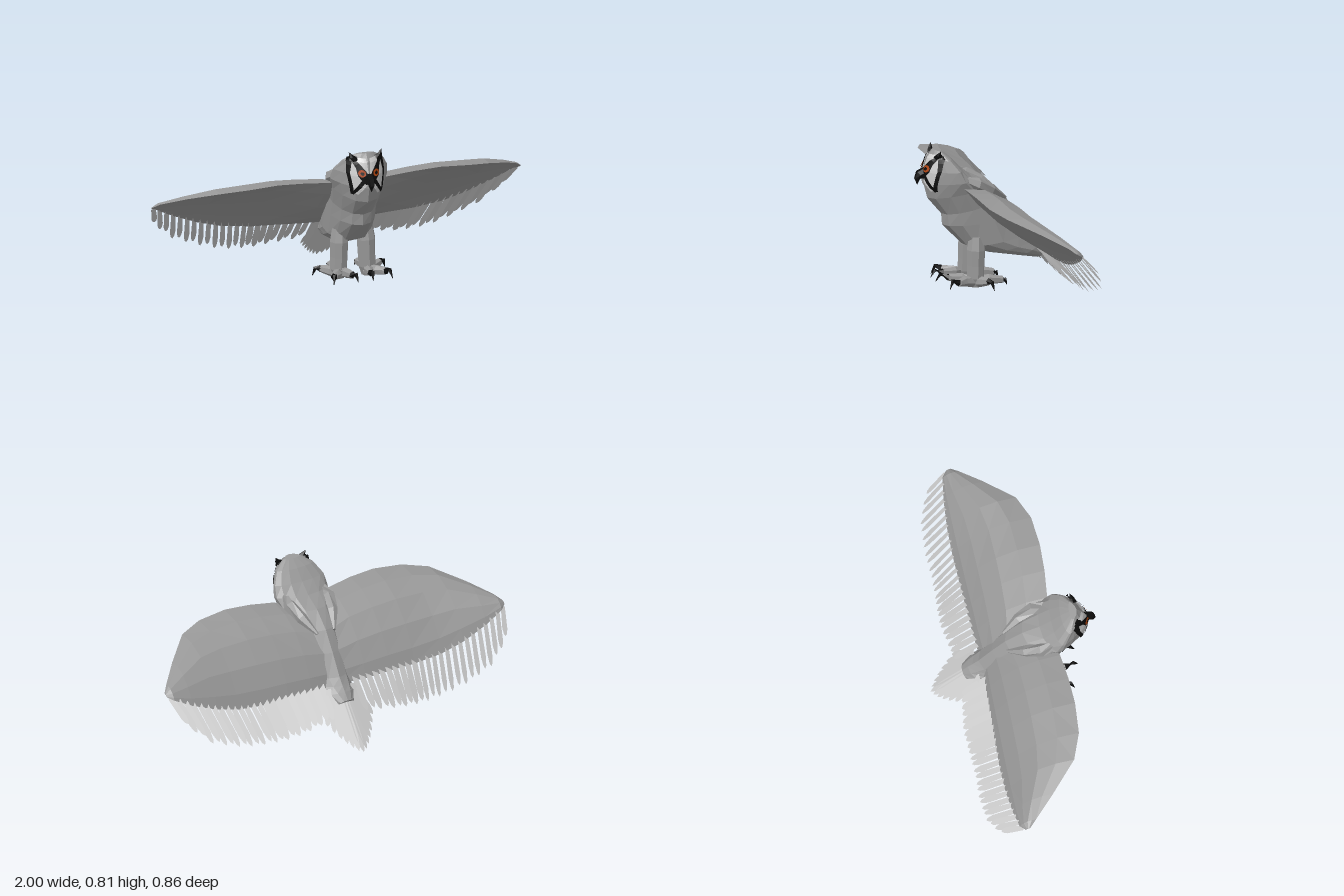
import * as THREE from 'three';

const V = (x, y, z) => new THREE.Vector3(x, y, z);
const paint = (color) => new THREE.MeshStandardMaterial({ color, flatShading: true, side: THREE.DoubleSide });
const plumage = paint(0x989898), pale = paint(0xc4c4c4), black = paint(0x0c0c0c), orange = paint(0xb04510);

function mesh(name, geometry, material, parent) {
  const m = new THREE.Mesh(geometry, material);
  m.name = name;
  parent.add(m);
}

function fromTriangles(points) {
  const g = new THREE.BufferGeometry().setFromPoints(points);
  g.computeVertexNormals();
  return g;
}

// Skin over closed rings, with both ends capped
function loft(rings) {
  const tri = [], n = rings[0].length;
  const centre = (r) => r.reduce((s, p) => s.add(p), V(0, 0, 0)).divideScalar(n);
  const first = rings[0], last = rings[rings.length - 1], c0 = centre(first), c1 = centre(last);
  for (let j = 0; j < n; j++) {
    const k = (j + 1) % n;
    for (let i = 0; i < rings.length - 1; i++) {
      const a = rings[i][j], b = rings[i][k], c = rings[i + 1][k], d = rings[i + 1][j];
      tri.push(a, b, c, a, c, d);
    }
    tri.push(c0, first[k], first[j], c1, last[j], last[k]);
  }
  return fromTriangles(tri);
}

// Round limb through points [x, y, z, radius]
function limb(points, sides = 6) {
  const p = points.map((q) => V(q[0], q[1], q[2]));
  return loft(p.map((c, i) => {
    const t = p[Math.min(i + 1, p.length - 1)].clone().sub(p[Math.max(i - 1, 0)]).normalize();
    const u = V(0, 0, 1).cross(t);
    if (u.length() < 0.3) u.copy(V(1, 0, 0)).cross(t);
    u.normalize();
    const v = t.clone().cross(u);
    return Array.from({ length: sides }, (_, j) => {
      const a = (j / sides) * Math.PI * 2, r = points[i][3];
      return c.clone().addScaledVector(u, r * Math.cos(a)).addScaledVector(v, r * Math.sin(a));
    });
  }));
}

// Body stations: front z, y / back z, y / widest z, half width, front sharpness
const BODY = [
  [0.335, 0.797, 0.295, 0.79, 0.31, 0.05, 2],
  [0.365, 0.755, 0.25, 0.755, 0.28, 0.11, 2],
  [0.382, 0.69, 0.2, 0.7, 0.24, 0.147, 2],
  [0.385, 0.62, 0.14, 0.65, 0.22, 0.155, 2],
  [0.365, 0.54, 0.05, 0.608, 0.18, 0.135, 1.5],
  [0.29, 0.45, -0.04, 0.53, 0.12, 0.12, 1.1],
  [0.285, 0.39, -0.11, 0.43, 0.08, 0.12, 1.1],
  [0.18, 0.28, -0.18, 0.32, 0.04, 0.12, 1],
  [0.06, 0.232, -0.21, 0.285, -0.06, 0.105, 1],
  [-0.1, 0.2, -0.235, 0.26, -0.16, 0.085, 1],
  [-0.22, 0.175, -0.265, 0.225, -0.24, 0.05, 1],
];

function bodyGeometry() {
  const sides = 14;
  return loft(BODY.map(([fz, fy, bz, by, c, w, e]) => Array.from({ length: sides }, (_, j) => {
    const a = (j / sides) * Math.PI * 2, k = Math.cos(a);
    const z = k > 0 ? c + (fz - c) * k ** e : c + (c - bz) * k;
    return V(-w * Math.sin(a), by + ((fy - by) * (z - bz)) / (fz - bz), z);
  })));
}

// Depth of the head's front at (x, y)
function faceZ(x, y) {
  let i = 0;
  while (i < 3 && y < BODY[i + 1][1]) i++;
  const a = BODY[i], b = BODY[i + 1];
  const t = THREE.MathUtils.clamp((a[1] - y) / (a[1] - b[1]), 0, 1);
  const mix = (k) => a[k] + (b[k] - a[k]) * t;
  const f = mix(0), c = mix(4), w = mix(5);
  return c + (f - c) * Math.max(0, 1 - (x / w) ** 2) ** (mix(6) / 2);
}

// Marking laid over the face along points [x, y, half width]
function marking(points, lift, across = 4, steps = 4) {
  const rows = [], tri = [];
  for (let i = 0; i < points.length - 1; i++) {
    for (let s = 0; s <= steps; s++) {
      const [x, y, h] = points[i].map((q, k) => q + (points[i + 1][k] - q) * (s / steps));
      const d = new THREE.Vector2(points[i + 1][0] - points[i][0], points[i + 1][1] - points[i][1]).normalize();
      rows.push(Array.from({ length: across + 1 }, (_, k) => {
        const o = h * ((2 * k) / across - 1), px = x - d.y * o, py = y + d.x * o;
        return V(px, py, faceZ(px, py) + lift);
      }));
    }
  }
  for (let i = 0; i < rows.length - 1; i++) {
    for (let k = 0; k < across; k++) {
      const a = rows[i][k], b = rows[i][k + 1], c = rows[i + 1][k + 1], d = rows[i + 1][k];
      tri.push(a, c, b, a, d, c);
    }
  }
  return fromTriangles(tri);
}

function eyeDisc(radius, lift) {
  const g = new THREE.CircleGeometry(radius, 10).translate(0.038, 0.705, 0);
  const p = g.attributes.position;
  for (let i = 0; i < p.count; i++) p.setZ(i, faceZ(p.getX(i), p.getY(i)) + lift);
  g.computeVertexNormals();
  return g;
}

// Flat pointed feather from base to tip, turned a little about its shaft
function feather(base, tip, width, turn) {
  const d = tip.clone().sub(base), n = d.clone().normalize();
  const side = V(1, 0, turn);
  side.addScaledVector(n, -n.dot(side)).normalize().multiplyScalar(width / 2);
  const at = (t, s) => base.clone().addScaledVector(d, t).addScaledVector(side, s);
  const o = [at(0, -0.8), at(0.75, -1), at(0.93, -0.6), at(1, 0), at(0.93, 0.6), at(0.75, 1), at(0, 0.8)];
  const tri = [];
  for (let i = 1; i < o.length - 1; i++) tri.push(o[0], o[i], o[i + 1]);
  return fromTriangles(tri);
}

// Wing stations: x, leading y, z, trailing y, z, feather tip y, z, underside hollow
const WING = [
  [0, 0.57, 0.15, 0.27, -0.16, 0.16, -0.27, -0.05],
  [0.16, 0.615, 0.215, 0.27, -0.175, 0.145, -0.3, -0.05],
  [0.3, 0.632, 0.23, 0.277, -0.18, 0.13, -0.32, 0],
  [0.44, 0.64, 0.235, 0.282, -0.185, 0.12, -0.315, 0.04],
  [0.6, 0.627, 0.222, 0.3, -0.19, 0.13, -0.31, 0.05],
  [0.73, 0.605, 0.17, 0.335, -0.19, 0.165, -0.32, 0.05],
  [0.87, 0.547, 0.03, 0.39, -0.18, 0.22, -0.31, 0.04],
  [0.97, 0.495, -0.08, 0.44, -0.165, 0.31, -0.27, 0.02],
  [1.0, 0.47, -0.115, 0.455, -0.14, 0.34, -0.24, 0],
];

// Arched section: upper surface bulges up and back, underside is hollow outboard
function wingGeometry() {
  return loft(WING.map(([x, ly, lz, ty, tz, , , hollow]) => {
    const chord = Math.hypot(ly - ty, lz - tz), ny = (lz - tz) / chord, nz = -(ly - ty) / chord;
    const at = (t, o) => V(x, ly + (ty - ly) * t + ny * o * chord, lz + (tz - lz) * t + nz * o * chord);
    return [at(0.87, 0.075), at(0.65, 0.15), at(0.4, 0.175), at(0.18, 0.12), at(0, 0),
      at(0.2, hollow * 0.7), at(0.5, hollow), at(0.8, hollow * 0.6), at(1, 0)];
  }));
}

function wingAt(x) {
  let i = 0;
  while (i < WING.length - 2 && x > WING[i + 1][0]) i++;
  const t = (x - WING[i][0]) / (WING[i + 1][0] - WING[i][0]);
  return WING[i].map((q, k) => q + (WING[i + 1][k] - q) * t);
}

// Toes: knuckle, toe end, claw bend, claw tip
const TOES = [
  [[0.06, 0.112, 0.2], [0.05, 0.12, 0.265], [0.045, 0.137, 0.31], [0.04, 0.1, 0.333]],
  [[0.11, 0.108, 0.2], [0.14, 0.112, 0.24], [0.15, 0.128, 0.275], [0.16, 0.085, 0.293]],
  [[0.12, 0.102, 0.11], [0.16, 0.11, 0.085], [0.185, 0.112, 0.075], [0.198, 0.068, 0.065]],
  [[0.08, 0.1, 0.06], [0.075, 0.09, -0.015], [0.073, 0.09, -0.03], [0.07, 0.06, -0.042]],
];

function buildSide() {
  const side = new THREE.Group();
  // Wing and its trailing feathers, broad inboard and separate outboard
  mesh('wing', wingGeometry(), plumage, side);
  const count = 24;
  for (let i = 0; i < count; i++) {
    const x = 0.1 + (0.885 * i) / (count - 1);
    const [, ly, lz, ty, tz, fy, fz] = wingAt(x);
    const base = V(x, ty + (ly - ty) * 0.1, tz + (lz - tz) * 0.06);
    const lean = 0.045 * THREE.MathUtils.smoothstep(x, 0.15, 0.6);
    const tip = V(x - lean, fy + 0.014 * (i % 2), fz);
    mesh('wingFeather', feather(base, tip, x < 0.45 ? 0.042 : 0.032, 0.3), pale, side);
  }
  mesh('shoulderTuft', limb([[0.11, 0.645, 0.21, 0.025], [0.115, 0.62, 0.13, 0.035], [0.09, 0.58, 0.05, 0.03], [0.05, 0.52, -0.04, 0.008]]), plumage, side);

  // Leg and foot
  mesh('leg', limb([[0.068, 0.33, 0.12, 0.042], [0.073, 0.26, 0.125, 0.05], [0.075, 0.18, 0.128, 0.047], [0.078, 0.115, 0.13, 0.046], [0.078, 0.068, 0.13, 0.03]], 8), plumage, side);
  for (const [k, e, b, t] of TOES) {
    mesh('toe', limb([[0.08, 0.093, 0.13, 0.029], [...k, 0.027], [...e, 0.019]]), plumage, side);
    mesh('claw', limb([[...e, 0.019], [...b, 0.011], [...t, 0.001]], 5), black, side);
  }

  // Face markings, eye and ear tuft
  mesh('facePatch', marking([[0.045, 0.778, 0.035], [0.05, 0.7, 0.047], [0.048, 0.65, 0.036], [0.064, 0.59, 0.012]], 0.006, 6), pale, side);
  mesh('cheekLine', marking([[0.085, 0.78, 0.012], [0.096, 0.7, 0.007], [0.078, 0.59, 0.007], [0.018, 0.68, 0.011]], 0.01), black, side);
  mesh('brow', marking([[0.085, 0.785, 0.006], [0.05, 0.735, 0.014], [0.035, 0.7, 0.024], [0.008, 0.65, 0.013]], 0.011), black, side);
  mesh('eye', eyeDisc(0.019, 0.015), orange, side);
  mesh('pupil', eyeDisc(0.009, 0.018), black, side);
  mesh('earTuft', limb([[0.055, 0.762, 0.328, 0.02], [0.075, 0.78, 0.325, 0.013], [0.088, 0.806, 0.318, 0.001]], 5), black, side);
  return side;
}

export function createModel() {
  const bird = new THREE.Group();
  bird.name = 'bird';
  mesh('body', bodyGeometry(), plumage, bird);
  mesh('beak', limb([[0, 0.682, 0.375, 0.024], [0, 0.668, 0.408, 0.023], [0, 0.645, 0.42, 0.015], [0, 0.614, 0.418, 0.001]], 6), black, bird);

  // Tail fan
  const tail = new THREE.Group();
  tail.name = 'tail';
  bird.add(tail);
  for (let i = -6; i <= 6; i++) {
    const a = i / 6, drop = Math.abs(a) ** 1.5;
    const base = V(a * 0.07, 0.285 - 0.015 * Math.abs(a), -0.19);
    mesh('tailFeather', feather(base, V(a * 0.135, 0.12 * drop, -0.43 + 0.14 * drop), 0.036, 0.3 * Math.sign(a)), pale, tail);
  }

  const left = buildSide();
  left.name = 'leftSide';
  const right = buildSide();
  right.name = 'rightSide';
  right.scale.x = -1;
  bird.add(left, right);
  return bird;
}
